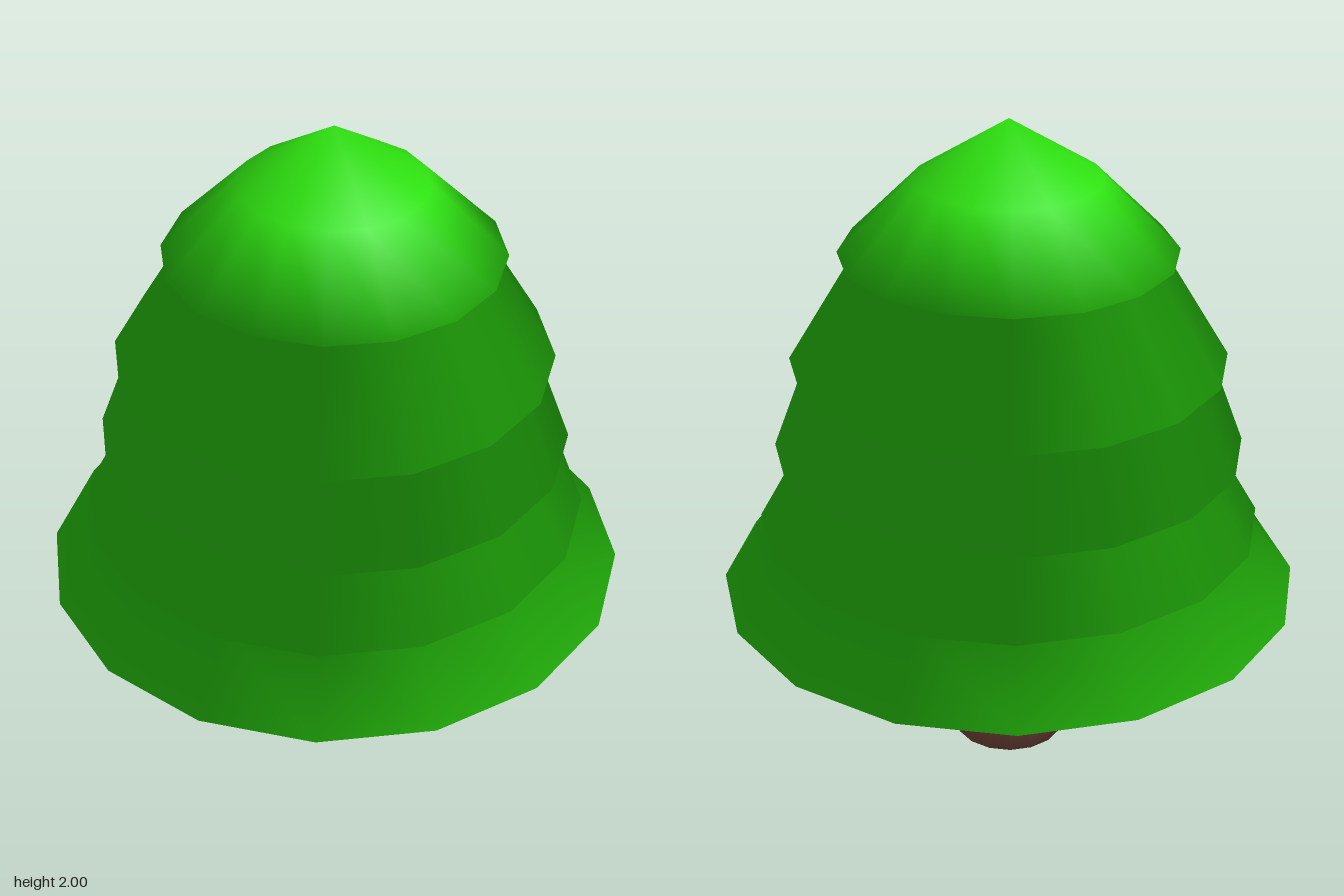
import * as THREE from 'three';

const SIDES = 16;

// Revolved solid, profile listed bottom to top. Each profile corner gets the even
// average of its two neighbouring slopes, so the shading rolls softly over every rim.
function softLathe(name, profile, color) {
  const points = profile.map(([r, y]) => new THREE.Vector2(r, y));
  const slopes = points.slice(1).map((p, i) => {
    const d = p.clone().sub(points[i]).normalize();
    return new THREE.Vector2(d.y, -d.x);
  });
  const corner = points.map((p, j) => {
    if (p.x === 0) return new THREE.Vector2(0, j === 0 ? -1 : 1);
    return slopes[j - 1].clone().add(slopes[j]).normalize();
  });

  const geometry = new THREE.LatheGeometry(points, SIDES);
  const normal = geometry.attributes.normal;
  for (let i = 0; i <= SIDES; i++) {
    const a = (i / SIDES) * Math.PI * 2;
    corner.forEach((n, j) => {
      normal.setXYZ(i * points.length + j, n.x * Math.sin(a), n.y, n.x * Math.cos(a));
    });
  }
  const mesh = new THREE.Mesh(geometry, new THREE.MeshStandardMaterial({ color }));
  mesh.name = name;
  return mesh;
}

export function createModel() {
  const tree = new THREE.Group();
  tree.name = 'tree';

  // Trunk, slightly wider at the top
  tree.add(softLathe('trunk', [[0, 0], [0.17, 0], [0.2, 0.41], [0, 0.41]], 0x855044));

  // Tiers from the lowest up: rim radius, rim height, radius where it meets the tier above
  const tiers = [
    [0.87, 0.55, 0.7],
    [0.75, 0.76, 0.61],
    [0.695, 1.0, 0.59],
    [0.64, 1.28, 0.44],
  ];
  const profile = [[0, 0.39], [0.3, 0.405]];
  tiers.forEach(([rim, y, neck], i) => {
    const nextY = i + 1 < tiers.length ? tiers[i + 1][1] : 1.61;
    profile.push([rim, y], [neck, nextY]);
  });
  // Domed crown
  profile.push([0.49, 1.61], [0.27, 1.83], [0, 2]);
  tree.add(softLathe('foliage', profile, 0x2ee010));

  return tree;
}
